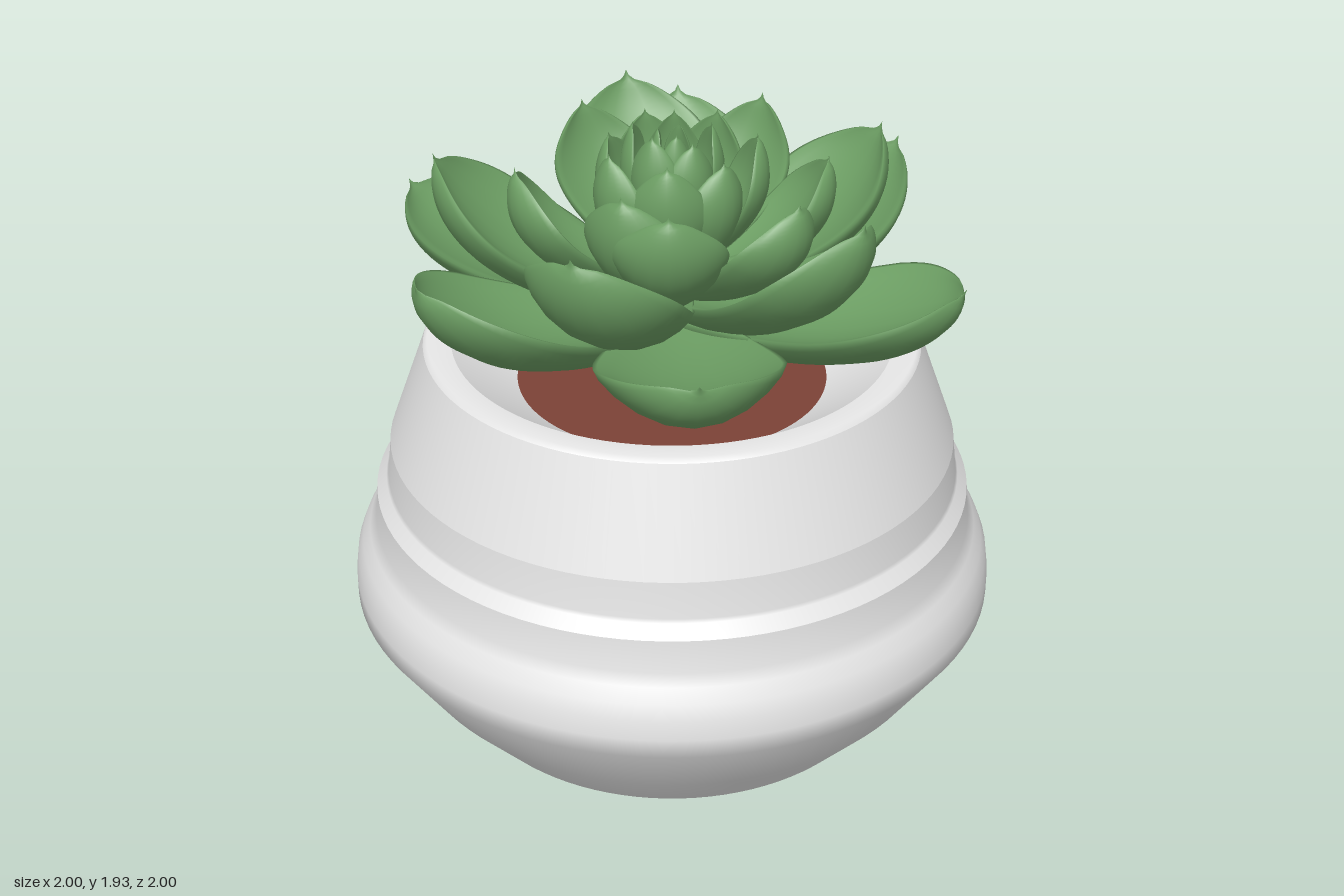
import * as THREE from 'three';

const ceramic = new THREE.MeshStandardMaterial({ color: 0xe8e8e8 });
ceramic.name = 'white ceramic';
const leafGreen = new THREE.MeshStandardMaterial({ color: 0x6d9f64 });
leafGreen.name = 'leaf green';
const soilBrown = new THREE.MeshStandardMaterial({ color: 0x7c4236 });
soilBrown.name = 'red brown soil';

const vec = ([x, y]) => new THREE.Vector2(x, y);

// Fleshy cupped leaf: lens sections swept along a curve in the XY plane, pointing +x,
// with a round end and a small upturned point
function leafGeometry(R, H, { W, thick, cup, baseY, ctrlR, ctrlY, curl }) {
  const rows = 30, ring = 20, pos = [], idx = [];
  const spine = new THREE.QuadraticBezierCurve(vec([0.03, baseY]), vec([R * ctrlR, ctrlY]), vec([R, H - curl]));
  for (let i = 0; i <= rows; i++) {
    const t = Math.sin((i / rows) * Math.PI / 2);
    const u = Math.max(0, (t - 0.6) / 0.4);
    const round = Math.sqrt(Math.max(0, 1 - (u / 0.95) ** 2));
    const end = Math.max(round, 1.1 * (1 - u));
    const grow = t < 0.6 ? 0.35 + 0.65 * Math.sin((t / 0.6) * Math.PI / 2) : 1;
    const half = (W / 2) * grow * Math.min(1, end);
    const p = spine.getPoint(t), d = spine.getTangent(t);
    for (let j = 0; j < ring; j++) {
      const a = (j / ring) * Math.PI * 2, c = Math.cos(a), s = Math.sin(a);
      const n = s * thick * Math.min(1, end) * (s > 0 ? 0.5 : 1) + cup * half * c * c;
      pos.push(p.x - d.y * n, p.y + d.x * n + curl * u ** 8, c * half);
    }
  }
  for (let i = 0; i < rows; i++) {
    for (let j = 0; j < ring; j++) {
      const k = (j + 1) % ring;
      const a = i * ring + j, b = a + ring, c = i * ring + k, e = c + ring;
      idx.push(a, b, c, b, e, c);
    }
  }
  const g = new THREE.BufferGeometry();
  g.setAttribute('position', new THREE.Float32BufferAttribute(pos, 3));
  g.setIndex(idx);
  g.computeVertexNormals();
  return g;
}

// Layers of the rosette; tips are [x, y, z]
const layers = [
  { name: 'outerLeaf', W: 0.54, thick: 0.06, cup: 0.4, baseY: 1.3, ctrlR: 0.7, ctrlY: 1.27, curl: 0.05,
    tips: [[-0.92, 1.56, 0.07], [0.9, 1.57, -0.14], [-0.35, 1.66, 0.8], [0.54, 1.57, 0.74],
      [-0.45, 1.68, -0.77], [0.34, 1.67, -0.8]] },
  { name: 'middleLeaf', W: 0.48, thick: 0.06, cup: 0.4, baseY: 1.36, ctrlR: 0.81, ctrlY: 1.41, curl: 0.045,
    tips: [[-0.49, 1.81, -0.52], [-0.63, 1.81, 0.32], [0.1, 1.81, 0.69], [0.69, 1.82, 0.1],
      [0.38, 1.8, -0.6]] },
  { name: 'upperLeaf', W: 0.34, thick: 0.05, cup: 0.42, baseY: 1.42, ctrlR: 0.98, ctrlY: 1.53, curl: 0.035,
    tips: [[0.03, 1.86, -0.48], [-0.33, 1.84, 0.33], [-0.44, 1.84, -0.19], [0.21, 1.83, 0.36],
      [0.46, 1.81, 0.06], [0.38, 1.82, -0.26], [0.04, 1.84, 0.34]] },
  { name: 'innerLeaf', W: 0.25, thick: 0.035, cup: 0.45, baseY: 1.48, ctrlR: 1.2, ctrlY: 1.62, curl: 0.025,
    tips: [[-0.2, 1.87, -0.17], [0, 1.88, -0.26], [0.19, 1.88, -0.17], [0.2, 1.87, 0.04],
      [0.1, 1.89, 0.19], [-0.09, 1.89, 0.2], [-0.2, 1.87, 0.03]] },
  { name: 'budLeaf', W: 0.18, thick: 0.022, cup: 0.45, baseY: 1.56, ctrlR: 1.5, ctrlY: 1.7, curl: 0.02,
    tips: [[-0.11, 1.93, 0.04], [-0.06, 1.92, -0.11], [0.08, 1.92, -0.09], [0.1, 1.91, 0.05],
      [0, 1.93, 0.11]] },
  { name: 'coreLeaf', W: 0.1, thick: 0.015, cup: 0.45, baseY: 1.66, ctrlR: 1.9, ctrlY: 1.76, curl: 0.015,
    tips: [[-0.035, 1.92, 0.02], [0.03, 1.91, 0.025], [0, 1.92, -0.04]] },
];

// Pot profile, one smooth section per entry, meeting at sharp edges
const potSections = {
  potBase: [[0, 0], [0.69, 0]],
  potBelly: [[0.69, 0], [0.85, 0.18], [1, 0.4], [1, 0.46], [0.992, 0.52], [0.975, 0.565],
    [0.95, 0.61], [0.929, 0.645], [0.92, 0.75]],
  potNeck: [[0.92, 0.75], [0.889, 0.79], [0.882, 0.8], [0.87, 0.915]],
  potShoulder: [[0.87, 0.915], [0.755, 1.235]],
  potLip: [[0.755, 1.235], [0.742, 1.25], [0.67, 1.243]],
  potFunnel: [[0.67, 1.243], [0.47, 1.1]],
};

export function createModel() {
  const model = new THREE.Group();
  model.name = 'pottedSucculent';
  const add = (parent, name, geo, mat) => {
    const m = new THREE.Mesh(geo, mat);
    m.name = name;
    parent.add(m);
    return m;
  };

  // Pot
  const pot = new THREE.Group();
  pot.name = 'pot';
  model.add(pot);
  for (const [name, points] of Object.entries(potSections)) {
    add(pot, name, new THREE.LatheGeometry(points.map(vec), 96), ceramic);
  }

  // Soil disc
  const soil = add(model, 'soil', new THREE.CircleGeometry(0.475, 64), soilBrown);
  soil.rotation.x = -Math.PI / 2;
  soil.position.y = 1.102;

  // Plant: stem and rosette
  const plant = new THREE.Group();
  plant.name = 'succulent';
  model.add(plant);
  const stem = add(plant, 'stem', new THREE.CylinderGeometry(0.06, 0.08, 0.6, 24), leafGreen);
  stem.position.y = 1.4;

  for (const layer of layers) {
    for (const [x, y, z] of layer.tips) {
      const geo = leafGeometry(Math.hypot(x, z), y, layer);
      add(plant, layer.name, geo, leafGreen).rotation.y = Math.atan2(-z, x);
    }
  }
  return model;
}
